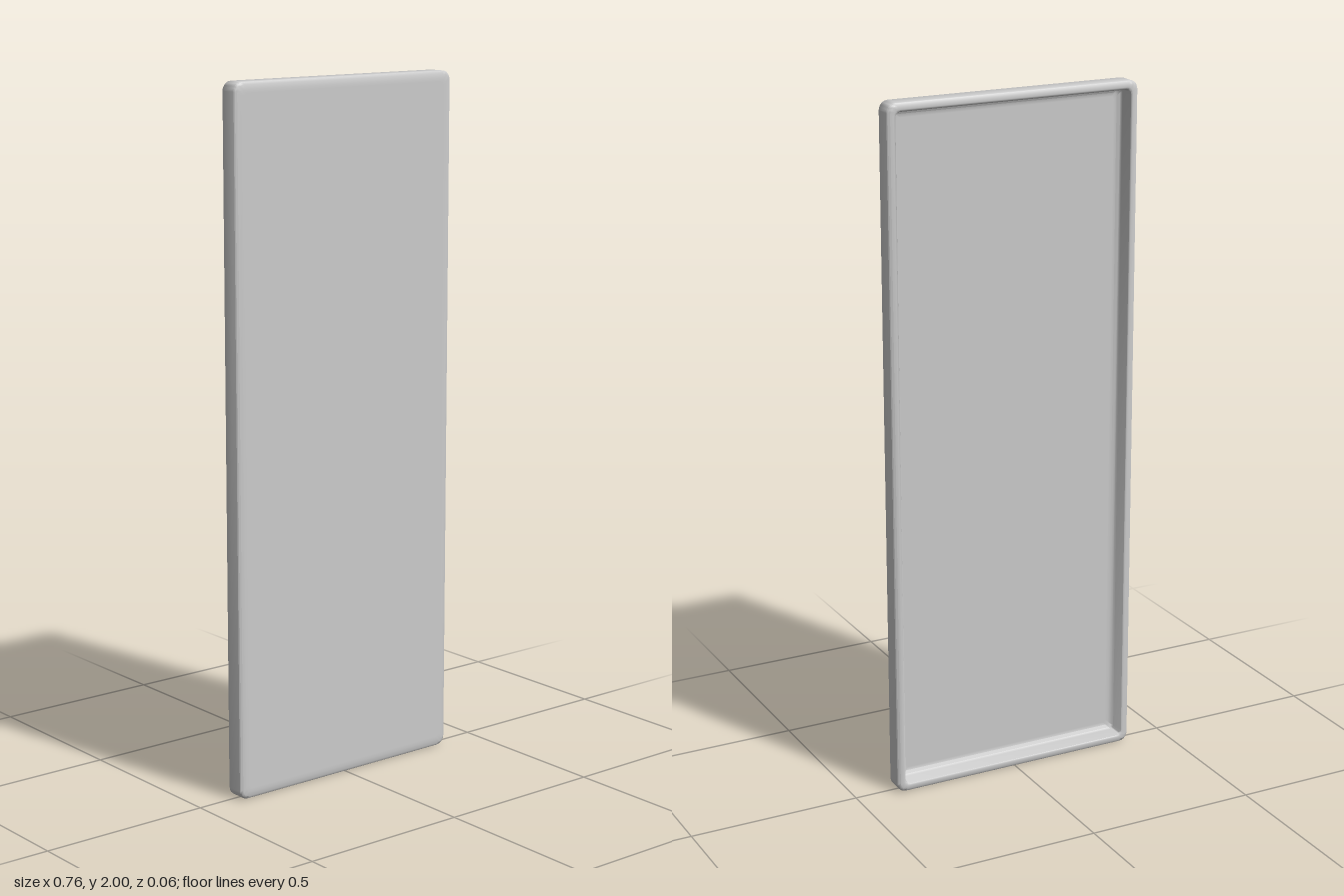
import * as THREE from 'three';
import { toCreasedNormals } from 'three/addons/utils/BufferGeometryUtils.js';

const HALF_W = 0.38, HALF_H = 1, ARC = 5;

// Rounded rectangle, counter-clockwise seen from the front
function ring(inset, z) {
  const r = Math.max(0.01, 0.026 - inset * 0.5);
  const w = HALF_W - inset - r, h = HALF_H - inset - r;
  const points = [];
  [[1, 1], [-1, 1], [-1, -1], [1, -1]].forEach(([sx, sy], k) => {
    for (let i = 0; i <= ARC; i++) {
      const a = (k + i / ARC) * Math.PI / 2;
      points.push([sx * w + r * Math.cos(a), HALF_H + sy * h + r * Math.sin(a), z]);
    }
  });
  return points;
}

function centre(z) {
  return Array.from({ length: 4 * (ARC + 1) }, () => [0, HALF_H, z]);
}

function loft(rings) {
  const position = [];
  const n = rings[0].length;
  for (let i = 0; i < rings.length - 1; i++) {
    for (let j = 0; j < n; j++) {
      const k = (j + 1) % n;
      const a = rings[i][j], b = rings[i + 1][j], c = rings[i + 1][k], d = rings[i][k];
      if (i < rings.length - 2) position.push(...a, ...b, ...c);
      if (i > 0) position.push(...a, ...c, ...d);
    }
  }
  const geometry = new THREE.BufferGeometry();
  geometry.setAttribute('position', new THREE.Float32BufferAttribute(position, 3));
  return toCreasedNormals(geometry, 0.8);
}

export function createModel() {
  const group = new THREE.Group();
  group.name = 'panelCover';

  // Wall section as [inset, z]: front face, soft outer edge, rim, recess wall, floor
  const profile = [
    [0.03, 0.0315], [0.02, 0.0315], [0.008, 0.0295], [0.002, 0.0275], [0, 0.024],
    [0, -0.024], [0.002, -0.0275], [0.008, -0.03], [0.018, -0.0315],
    [0.023, -0.03], [0.025, -0.026], [0.027, 0.01], [0.031, 0.016], [0.04, 0.02], [0.05, 0.02],
  ];
  const rings = [centre(0.0315), ...profile.map(([inset, z]) => ring(inset, z)), centre(0.02)];

  const shell = new THREE.Mesh(loft(rings), new THREE.MeshStandardMaterial({ color: 0xcccccc }));
  shell.name = 'recessedPanelShell';
  group.add(shell);
  return group;
}
